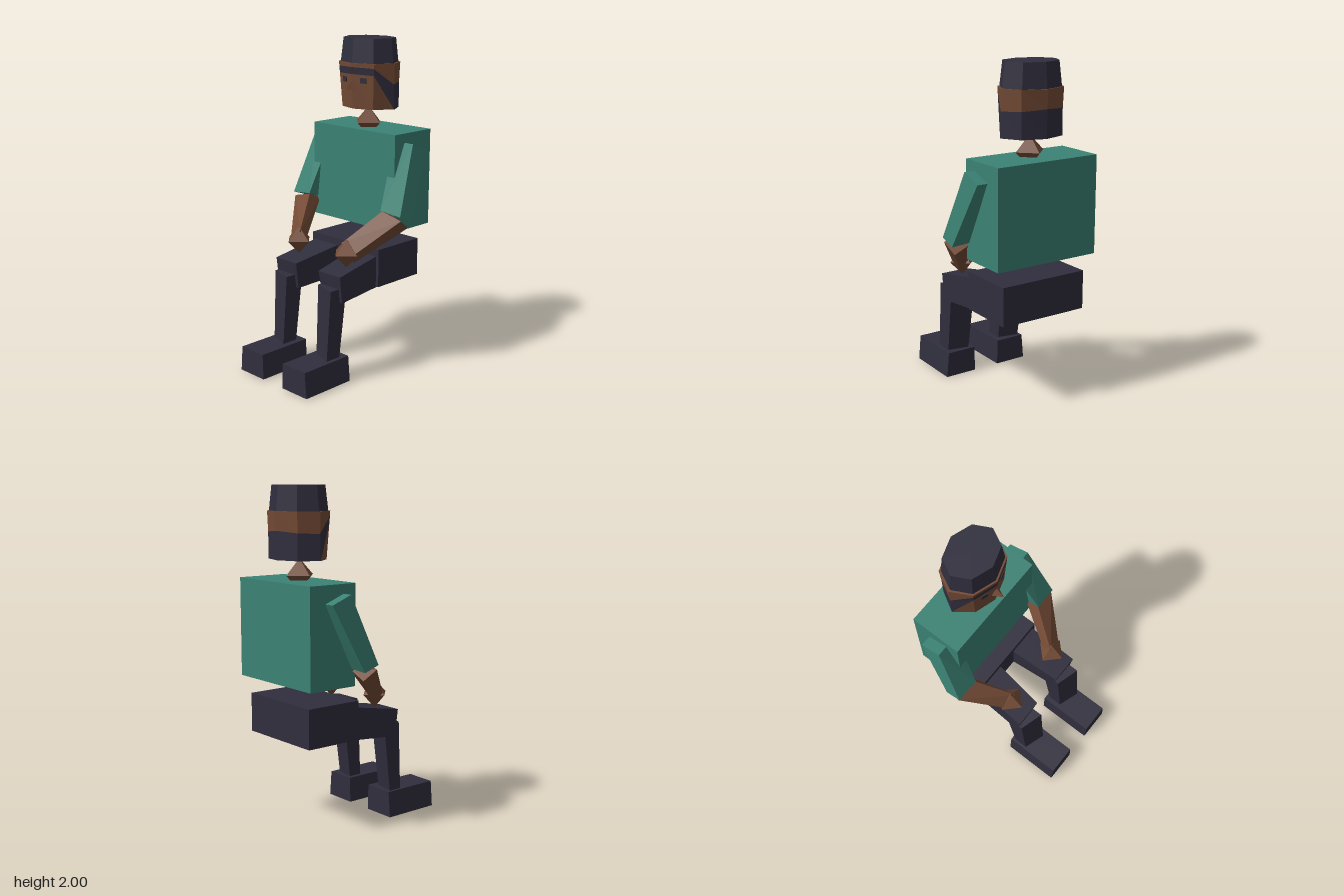
import * as THREE from 'three';
import { ConvexGeometry } from 'three/addons/geometries/ConvexGeometry.js';

const flat = (name, color) => {
  const m = new THREE.MeshStandardMaterial({ color });
  m.name = name;
  m.flatShading = true;
  return m;
};

export function createModel() {
  const model = new THREE.Group();
  model.name = 'seatedFigure';
  const shirt = flat('greenShirt', 0x3b8274);
  const skin = flat('brownSkin', 0x734a35);
  const dark = flat('darkCloth', 0x302e3d);

  const add = (name, geometry, material, parent = model) => {
    const mesh = new THREE.Mesh(geometry, material);
    mesh.name = name;
    parent.add(mesh);
    return mesh;
  };
  // Box given by its limits on each axis
  const box = (name, material, [x0, x1], [y0, y1], [z0, z1]) => {
    const mesh = add(name, new THREE.BoxGeometry(x1 - x0, y1 - y0, z1 - z0), material);
    mesh.position.set((x0 + x1) / 2, (y0 + y1) / 2, (z0 + z1) / 2);
    return mesh;
  };
  // Faceted solid around a few corners, optionally mirrored in x
  const solid = (name, material, corners, side = 1) =>
    add(name, new ConvexGeometry(corners.map(([x, y, z]) => new THREE.Vector3(x * side, y, z))), material);
  const diamond = (name, radius, x, y, z) =>
    add(name, new THREE.OctahedronGeometry(radius), skin).position.set(x, y, z);

  // Trunk
  box('torso', shirt, [-0.34, 0.34], [0.87, 1.46], [-0.5, -0.18]);
  box('pelvis', dark, [-0.285, 0.285], [0.53, 0.765], [-0.47, -0.11]);
  diamond('neck', 0.096, 0, 1.488, -0.315);

  // Limbs
  for (const side of [1, -1]) {
    const label = side > 0 ? 'left' : 'right';
    solid(label + 'UpperArm', shirt, [
      [0.405, 1.405, -0.265], [0.26, 1.405, -0.265], [0.405, 1.355, -0.395], [0.26, 1.355, -0.395],
      [0.455, 1.0, -0.105], [0.305, 1.015, -0.1], [0.455, 0.965, -0.205], [0.31, 0.975, -0.205],
    ], side);
    solid(label + 'Forearm', skin, [
      [0.453, 0.975, -0.115], [0.31, 1.01, -0.108], [0.31, 0.97, -0.2], [0.435, 0.915, -0.2],
      [0.265, 0.765, 0.1], [0.18, 0.83, 0.1], [0.165, 0.76, 0.07], [0.24, 0.71, 0.06],
    ], side);
    diamond(label + 'Hand', 0.088, side * 0.205, 0.77, 0.085);
    solid(label + 'Thigh', dark, [
      [0.05, 0.745, -0.25], [0.26, 0.745, -0.25], [0.05, 0.535, -0.25], [0.26, 0.535, -0.25],
      [0.098, 0.665, 0.21], [0.277, 0.665, 0.21], [0.105, 0.5, 0.185], [0.275, 0.5, 0.19],
    ], side);
    // Both shins turn the same way, so they are shifted rather than mirrored
    const s = side > 0 ? 0.182 : -0.198;
    solid(label + 'Shin', dark, [
      [s - 0.075, 0.585, 0.222], [s + 0.074, 0.585, 0.265], [s - 0.075, 0.585, 0.105], [s + 0.074, 0.585, 0.135],
      [s - 0.063, 0.15, 0.25], [s + 0.07, 0.15, 0.295], [s - 0.063, 0.15, 0.165], [s + 0.07, 0.15, 0.19],
    ]);
    const foot = [];
    for (const z of [0.14, 0.497])
      foot.push([0.085, 0, z], [0.292, 0, z], [0.09, 0.157, z], [0.278, 0.157, z]);
    solid(label + 'Foot', dark, foot, side);
  }

  // Head: eight-sided shells; each ring lists [height, scale] from front to back
  const head = new THREE.Group();
  head.name = 'head';
  head.position.z = -0.32;
  model.add(head);
  const RX = 0.205, RZ = 0.165;
  const ring = (half) => Array.from({ length: 8 }, (_, i) => {
    const [y, s] = half[i > 4 ? 8 - i : i];
    const a = i * Math.PI / 4;
    return [Math.sin(a) * RX * s, y, Math.cos(a) * RZ * s];
  });
  const even = (y, s) => ring(Array(5).fill([y, s]));
  const shell = (name, material, upper, lower) => {
    const p = [];
    for (let i = 0; i < 8; i++) {
      const j = (i + 1) % 8;
      p.push(...upper[i], ...lower[i], ...lower[j], ...upper[i], ...lower[j], ...upper[j]);
    }
    const g = new THREE.BufferGeometry();
    g.setAttribute('position', new THREE.Float32BufferAttribute(p, 3));
    g.computeVertexNormals();
    add(name, g, material, head);
  };
  const rim = even(1.855, 1);
  const hairTop = ring([[1.832, 0.99], [1.827, 0.99], [1.73, 0.98], [1.735, 0.97], [1.745, 0.96]]);
  const hairEnd = ring([[1.79, 0.97], [1.785, 0.97], [1.58, 1], [1.58, 0.97], [1.58, 0.95]]);
  const chin = ring([[1.58, 0.86], [1.58, 0.88], [1.58, 0.9], [1.58, 0.88], [1.58, 0.86]]);
  shell('brow', skin, even(1.855, 0.9), rim);
  shell('headband', skin, rim, hairTop);
  shell('hair', dark, hairTop, hairEnd);
  shell('face', skin, hairEnd, chin);
  shell('jawUnderside', skin, chin, even(1.58, 0));

  const hat = add('hat', new THREE.CylinderGeometry(0.85, 0.94, 0.147, 8), dark, head);
  hat.geometry.scale(RX, 1, RZ);
  hat.position.y = 1.9265;

  // Face details
  for (const side of [1, -1]) {
    const eye = add(side > 0 ? 'leftEye' : 'rightEye', new THREE.BoxGeometry(0.038, 0.032, 0.008), dark);
    eye.position.set(side * 0.076, 1.753, -0.186);
    eye.rotation.y = side * 0.32;
  }
  solid('nose', skin, [
    [-0.03, 1.692, -0.175], [0.03, 1.692, -0.175], [0, 1.752, -0.168], [0, 1.703, -0.115],
  ]);
  return model;
}
